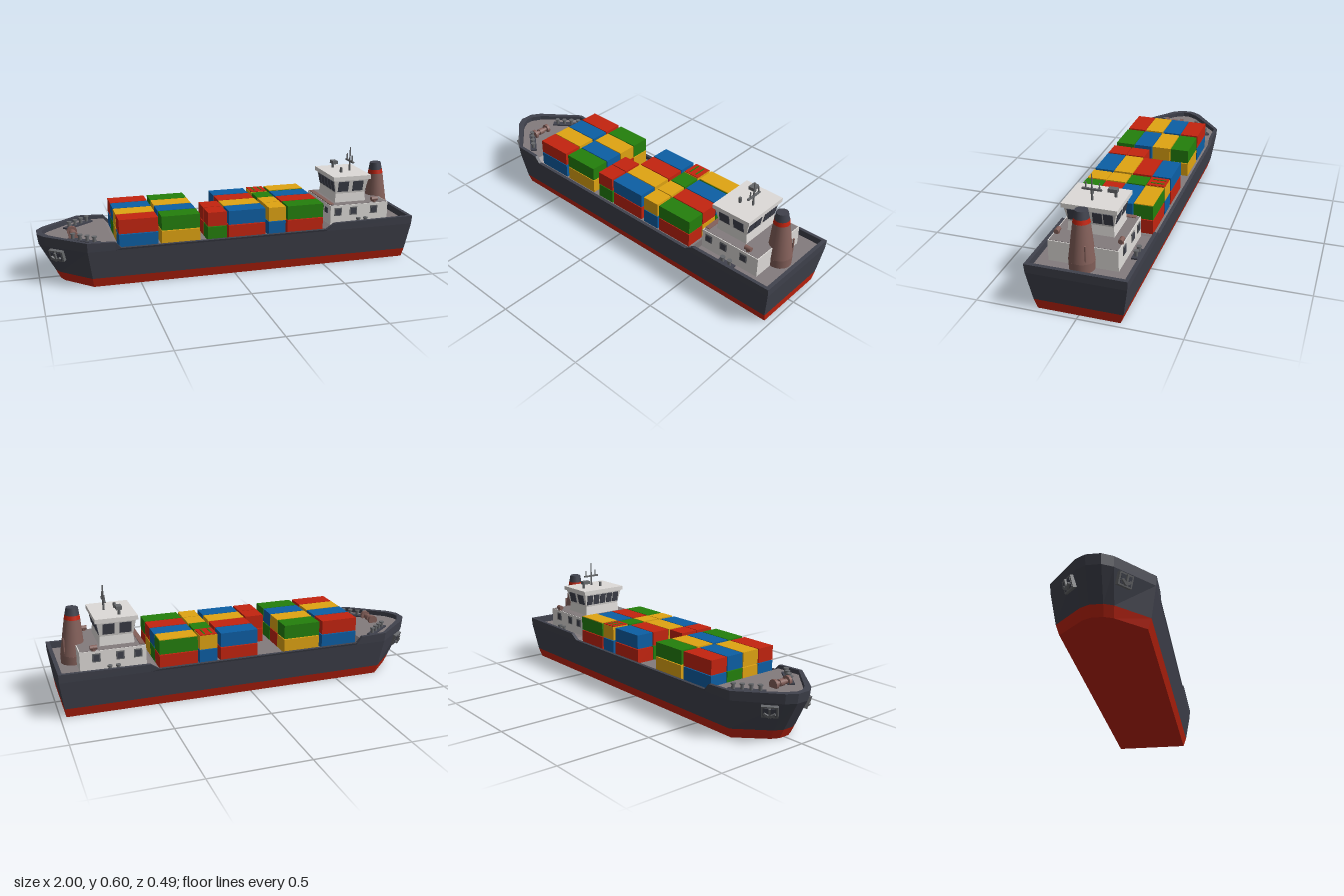
import * as THREE from 'three';

const mat = (name, color) => Object.assign(new THREE.MeshStandardMaterial({ color }), { name });

export function createModel() {
  const M = {
    hull: mat('hull slate', 0x40424d), red: mat('red', 0xc4240f), blue: mat('blue', 0x0c5fa5),
    yellow: mat('yellow', 0xe0a412), green: mat('green', 0x24800c), white: mat('white', 0xdedbd8),
    deck: mat('deck grey', 0x837b7d), brown: mat('funnel brown', 0x84605a), metal: mat('metal grey', 0x66686b),
  };
  const ship = new THREE.Group();
  ship.name = 'containerShip';

  const add = (name, geo, m, x = 0, y = 0, z = 0, parent = ship) => {
    const mesh = new THREE.Mesh(geo, m);
    mesh.name = name;
    mesh.position.set(x, y, z);
    parent.add(mesh);
    return mesh;
  };
  const box = (name, m, w, h, d, x, y, z, parent) => add(name, new THREE.BoxGeometry(w, h, d), m, x, y, z, parent);
  const cyl = (name, m, r0, r1, h, x, y, z, parent, n = 12) =>
    add(name, new THREE.CylinderGeometry(r1, r0, h, n), m, x, y, z, parent);
  const group = (name, x, y, z, parent = ship) => {
    const g = new THREE.Group();
    g.name = name;
    g.position.set(x, y, z);
    parent.add(g);
    return g;
  };

  // Hull: stations from bow to stern on one side, mirrored into closed rings
  const stationX = [-1, -0.968, -0.77, -0.63, -0.6, 0.5, 0.545, 1];
  const keelX = [-0.89, -0.87, -0.74, -0.63, -0.6, 0.5, 0.545, 0.97];
  const halfZ = [0.035, 0.085, 0.246, 0.246, 0.246, 0.246, 0.246, 0.246];
  const rimY = [0.25, 0.25, 0.248, 0.243, 0.21, 0.21, 0.24, 0.245];
  const deckY = [0.225, 0.225, 0.225, 0.225, 0.19, 0.19, 0.21, 0.21];
  const ring = (point) => {
    const side = stationX.map((_, i) => point(i));
    return [...side, ...side.map(([x, y, z]) => [x, y, -z]).reverse()];
  };
  const level = (y, t, beam) => ring((i) =>
    [keelX[i] + (stationX[i] - keelX[i]) * t, y, halfZ[i] * beam]);
  const inset = (ys) => ring((i) => [
    stationX[i] + [0.028, 0.025, 0.006, 0, 0, 0, 0, -0.02][i], ys[i], halfZ[i] - 0.018]);
  const keel = level(0, 0, 0.815), waterline = level(0.05, 0.23, 0.882), shoulder = level(0.2, 0.94, 0.985);
  const rim = ring((i) => [stationX[i], rimY[i], halfZ[i]]);
  const rimInner = inset(rimY), deckRing = inset(deckY);

  const quad = (out, a, b, c, d) => out.push(...a, ...b, ...c, ...a, ...c, ...d);
  const loft = (rings, out = []) => {
    for (let k = 0; k + 1 < rings.length; k++) {
      const lo = rings[k], hi = rings[k + 1];
      lo.forEach((p, i) => {
        const j = (i + 1) % lo.length;
        quad(out, p, lo[j], hi[j], hi[i]);
      });
    }
    return out;
  };
  const cap = (r, up, out = []) => {
    const n = r.length;
    for (let i = 0; i + 1 < n / 2; i++) {
      const c = [r[i], r[i + 1], r[n - 2 - i], r[n - 1 - i]];
      quad(out, ...(up ? c : c.reverse()));
    }
    return out;
  };
  const surface = (points) => {
    const g = new THREE.BufferGeometry();
    g.setAttribute('position', new THREE.Float32BufferAttribute(points, 3));
    g.computeVertexNormals();
    return g;
  };
  add('lowerHull', surface([...loft([keel, waterline]), ...cap(keel, false)]), M.red);
  add('upperHull', surface(loft([waterline, shoulder, rim, rimInner, deckRing])), M.hull);
  add('deck', surface(cap(deckRing, true)), M.deck);

  // Containers: one letter per row, from back (-z) to front (+z)
  const cargo = group('containers', 0, 0, 0);
  const paint = { r: M.red, b: M.blue, y: M.yellow, g: M.green };
  const bays = [
    [-0.505, 0.2, 'bgyb', 'rbyr'], [-0.287, 0.2, 'yrgy', 'gybg'], [-0.095, 0.1, '--rg', '--rr'],
    [0.066, 0.2, 'rgbr', 'bryb'], [0.232, 0.094, 'byrb', 'ygyy'], [0.39, 0.2, 'rgyr', 'gbrg'],
  ];
  for (const [x, len, ...tiers] of bays) {
    tiers.forEach((row, t) => [...row].forEach((c, k) => {
      if (c === '-') return;
      box('container', paint[c], len, 0.074, 0.1, x, 0.229 + t * 0.078, (k - 1.5) * 0.105, cargo);
    }));
  }
  box('containerLid', M.yellow, 0.196, 0.004, 0.096, 0.39, 0.346, -0.1575, cargo);
  box('containerLid', M.red, 0.09, 0.004, 0.096, 0.232, 0.346, -0.1575, cargo);
  for (const dx of [-0.02, 0.018]) box('lidStripe', M.green, 0.008, 0.003, 0.07, 0.232 + dx, 0.348, -0.16, cargo);

  // Deckhouse with doors and windows
  const house = group('deckhouse', 0, 0, 0);
  box('lowerHouse', M.white, 0.335, 0.11, 0.34, 0.715, 0.26, 0.005, house);
  box('houseRoof', M.deck, 0.325, 0.003, 0.33, 0.715, 0.315, 0.005, house);
  box('frontLedge', M.brown, 0.025, 0.006, 0.3, 0.562, 0.317, 0.005, house);
  for (const s of [1, -1]) {
    for (const x of [0.59, 0.68, 0.8]) {
      box('houseWindow', M.metal, 0.042, 0.044, 0.005, x, 0.28, 0.005 + s * 0.171, house);
      box('houseWindowPane', M.hull, 0.03, 0.032, 0.006, x, 0.28, 0.005 + s * 0.1725, house);
    }
    cyl('vent', M.brown, 0.011, 0.011, 0.022, 0.81, 0.326, s * 0.155, house);
    const cowl = cyl('ventCowl', M.brown, 0.012, 0.012, 0.035, 0.81, 0.332, s * 0.155, house);
    cowl.rotation.z = Math.PI / 2;
  }
  for (let k = -2; k <= 2; k++) box('frontWindow', M.hull, 0.006, 0.03, 0.035, 0.546, 0.28, k * 0.06, house);

  // Bridge: straight base, flared window band, overhanging roof
  const bridge = group('bridge', 0.683, 0, 0.006);
  const flared = (w0, d0, w1, d1, h) => {
    const g = new THREE.BoxGeometry(1, h, 1);
    const p = g.attributes.position;
    for (let i = 0; i < p.count; i++) {
      const up = p.getY(i) > 0;
      p.setX(i, p.getX(i) * (up ? w1 : w0));
      p.setZ(i, p.getZ(i) * (up ? d1 : d0));
    }
    g.computeVertexNormals();
    return g;
  };
  add('bridgeBase', flared(0.18, 0.23, 0.17, 0.222, 0.05), M.white, 0, 0.34, 0, bridge);
  add('bridgeCabin', flared(0.17, 0.222, 0.2, 0.255, 0.08), M.white, 0, 0.405, 0, bridge);
  box('bridgeRoof', M.white, 0.218, 0.022, 0.272, 0, 0.453, 0, bridge);
  const windowWall = (angle, dist, xs, w, tilt) => {
    const wall = group('bridgeWindows', 0, 0.405, 0, bridge);
    wall.rotation.y = angle;
    for (const x of xs) box('bridgeWindow', M.hull, w, 0.058, 0.006, x, 0, dist, wall).rotation.x = tilt;
  };
  windowWall(0, 0.1195, [-0.045, 0.04], 0.06, 0.2);
  windowWall(Math.PI, 0.1195, [-0.04, 0.045], 0.06, 0.2);
  windowWall(Math.PI / 2, 0.093, [-0.087, -0.035, 0.035, 0.087], 0.046, 0.185);
  windowWall(-Math.PI / 2, 0.093, [-0.09, -0.045, 0, 0.045, 0.09], 0.037, 0.185);

  // Mast, yard and radar on the bridge roof
  const mast = group('mast', 0.72, 0, 0.015);
  cyl('mastPole', M.metal, 0.006, 0.003, 0.132, 0, 0.53, 0, mast, 8);
  box('yard', M.metal, 0.01, 0.009, 0.096, 0, 0.519, 0, mast);
  for (const z of [0.029, -0.037]) cyl('aerial', M.metal, 0.004, 0.003, 0.032, 0, 0.538, z, mast, 6);
  cyl('radarPost', M.metal, 0.007, 0.007, 0.035, 0.66, 0.478, -0.08);
  box('radarScanner', M.metal, 0.03, 0.018, 0.045, 0.66, 0.498, -0.067);
  cyl('roofLamp', M.metal, 0.008, 0.008, 0.028, 0.66, 0.476, 0.038);

  // Funnel in stacked bands that lean slightly forward
  const funnel = group('funnel', 0.893, 0, 0.005);
  const bands = [
    ['funnelFoot', M.brown, 0.205, 0.255, 0.06, 0.063], ['funnelBody', M.brown, 0.255, 0.44, 0.063, 0.041],
    ['funnelBand', M.red, 0.44, 0.462, 0.041, 0.037], ['funnelTop', M.hull, 0.462, 0.5, 0.037, 0.03],
  ];
  for (const [name, m, y0, y1, r0, r1] of bands) {
    const part = cyl(name, m, r0, r1, y1 - y0, -((y0 + y1) / 2 - 0.22) * 0.045, (y0 + y1) / 2, 0, funnel, 20);
    part.rotation.z = 0.045;
  }
  cyl('exhaustPipe', M.brown, 0.005, 0.005, 0.08, 0.045, 0.31, -0.035, funnel, 8);

  // Mooring gear
  const bollards = (x, y, z, angle, count) => {
    const g = group('bollards', x, y, z);
    g.rotation.y = angle;
    box('bollardPlate', M.hull, count * 0.045, 0.008, 0.035, 0, 0.004, 0, g);
    for (let k = 0; k < count; k++) {
      const bx = (k - (count - 1) / 2) * 0.042;
      cyl('bollard', M.metal, 0.009, 0.009, 0.03, bx, 0.018, 0, g);
      cyl('bollardCap', M.metal, 0.013, 0.013, 0.006, bx, 0.034, 0, g);
    }
  };
  for (const s of [1, -1]) {
    bollards(-0.775, 0.225, s * 0.14, s * -0.66, 4);
    bollards(0.72, 0.21, s * 0.202, 0, 2);
  }
  const windlass = group('windlass', -0.82, 0.24, 0.04);
  for (const [r, w, z] of [[0.012, 0.1, 0], [0.026, 0.016, 0.045], [0.026, 0.016, -0.045], [0.018, 0.03, 0]])
    cyl('windlassDrum', M.brown, r, r, w, 0, 0, z, windlass, 14).rotation.x = Math.PI / 2;

  // Anchors on plates either side of the bow
  for (const s of [1, -1]) {
    const a = group('anchor', -0.908, 0.16, s * 0.122);
    a.rotation.order = 'YXZ';
    a.rotation.y = s > 0 ? -0.68 : Math.PI + 0.68;
    a.rotation.x = 0.3;
    box('anchorPlate', M.metal, 0.08, 0.06, 0.02, 0, 0, 0, a);
    box('anchorRecess', M.hull, 0.062, 0.044, 0.004, 0, 0, 0.01, a);
    box('anchorShank', M.metal, 0.01, 0.045, 0.012, 0, 0.002, 0.016, a);
    for (const t of [1, -1]) box('anchorFluke', M.metal, 0.032, 0.011, 0.012, t * 0.013, -0.012, 0.016, a).rotation.z = t * 0.6;
  }
  return ship;
}
